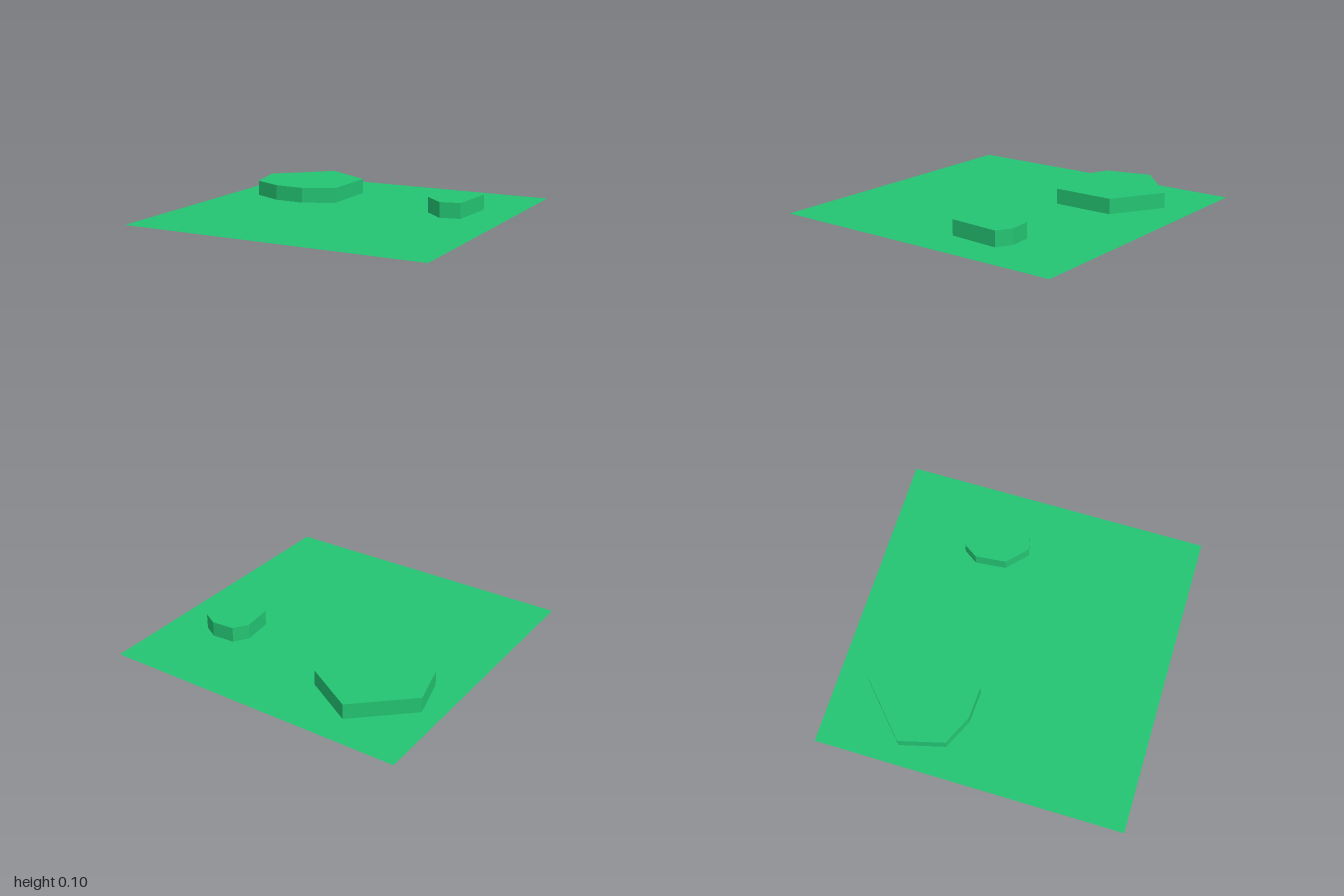
import * as THREE from 'three';

const HEIGHT = 0.1;

// Plateau outlines as [x, z], clockwise seen from above
const LARGE = [[-0.535, -0.8], [-0.2, -0.6], [-0.2, -0.2], [-0.4, -0.1], [-0.605, -0.11], [-0.8, -0.2], [-0.875, -0.49]];
const SMALL = [[0.51, -0.49], [0.66, -0.5], [0.755, -0.445], [0.73, -0.11], [0.6, -0.08], [0.47, -0.2], [0.45, -0.4]];

const toVectors = (outline) => outline.map(([x, z]) => new THREE.Vector2(x, -z));

// Flat horizontal face at height y, facing up
function flatFace(shape, y) {
  return new THREE.ShapeGeometry(shape).rotateX(-Math.PI / 2).translate(0, y, 0);
}

// Open ring of upright faces around an outline
function wallRing(outline) {
  const positions = [];
  outline.forEach(([ax, az], i) => {
    const [bx, bz] = outline[(i + 1) % outline.length];
    positions.push(
      bx, 0, bz, ax, 0, az, ax, HEIGHT, az,
      bx, 0, bz, ax, HEIGHT, az, bx, HEIGHT, bz
    );
  });
  const geometry = new THREE.BufferGeometry();
  geometry.setAttribute('position', new THREE.Float32BufferAttribute(positions, 3));
  geometry.computeVertexNormals();
  return geometry;
}

export function createModel() {
  const model = new THREE.Group();
  model.name = 'terrain';

  const grass = new THREE.MeshStandardMaterial({ color: 0x24c472, side: THREE.DoubleSide });
  grass.name = 'grassGreen';

  const add = (parent, name, geometry) => {
    const mesh = new THREE.Mesh(geometry, grass);
    mesh.name = name;
    parent.add(mesh);
  };

  // Ground sheet, open beneath each plateau
  const square = new THREE.Shape(toVectors([[-1, 1], [1, 1], [1, -1], [-1, -1]]));
  for (const outline of [LARGE, SMALL]) square.holes.push(new THREE.Path(toVectors(outline)));
  add(model, 'ground', flatFace(square, 0));

  // Raised plateaus, hollow from below
  for (const [name, outline] of [['largePlateau', LARGE], ['smallPlateau', SMALL]]) {
    const plateau = new THREE.Group();
    plateau.name = name;
    add(plateau, name + 'Walls', wallRing(outline));
    add(plateau, name + 'Top', flatFace(new THREE.Shape(toVectors(outline)), HEIGHT));
    model.add(plateau);
  }

  return model;
}
